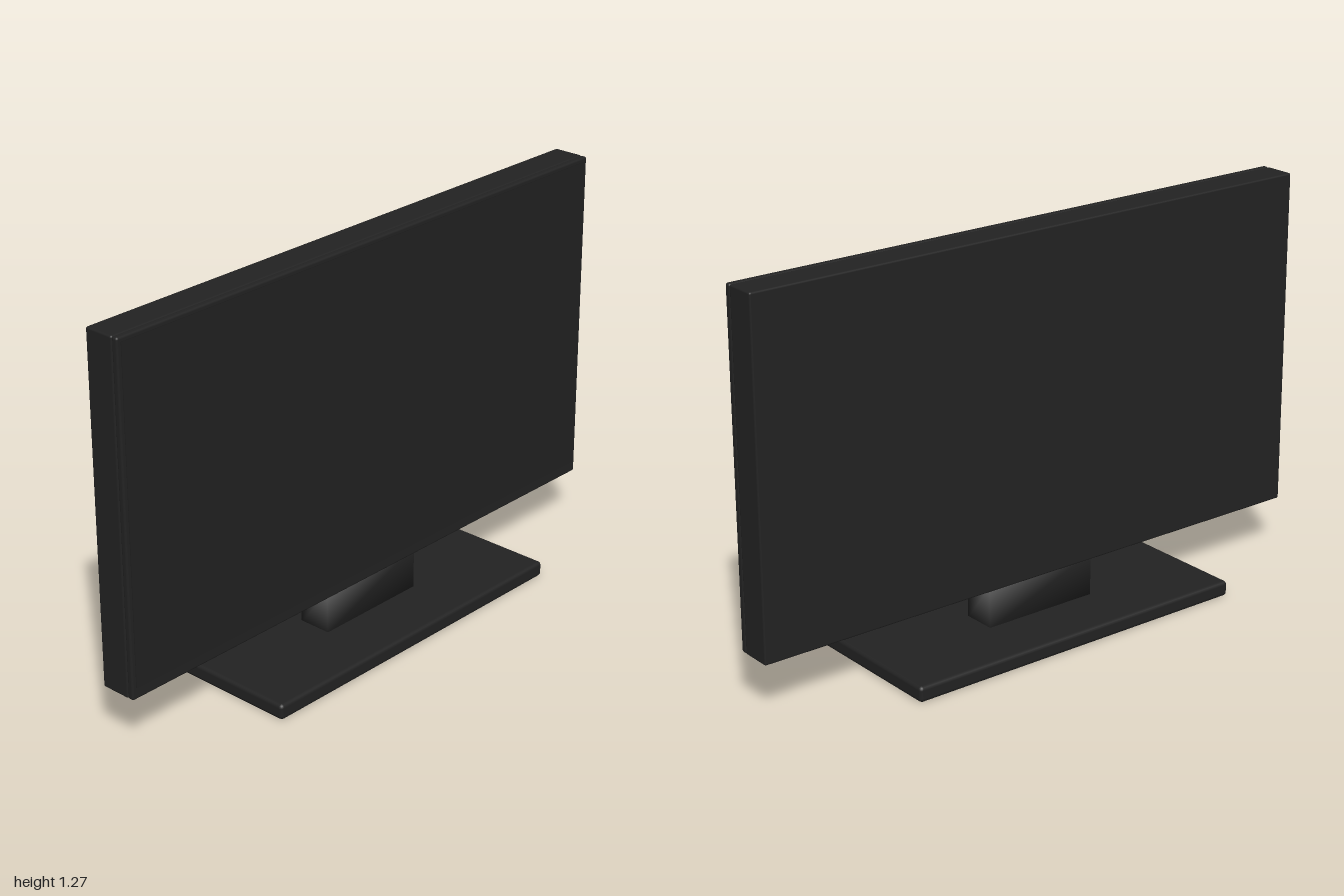
import * as THREE from 'three';
import { RoundedBoxGeometry } from 'three/addons/geometries/RoundedBoxGeometry.js';
import { mergeVertices } from 'three/addons/utils/BufferGeometryUtils.js';

// Box whose corners share one averaged normal, for a soft sheen across its faces
function softBox(w, h, d) {
  const box = new THREE.BoxGeometry(w, h, d);
  box.deleteAttribute('uv');
  box.deleteAttribute('normal');
  const geometry = mergeVertices(box);
  geometry.computeVertexNormals();
  return geometry;
}

export function createModel() {
  const model = new THREE.Group();
  model.name = 'television';

  const casing = new THREE.MeshStandardMaterial({ color: 0x222222 });
  casing.name = 'black plastic';
  const glass = new THREE.MeshStandardMaterial({ color: 0x212121 });
  glass.name = 'dark glass';

  // Places a part by its lower and upper corner
  function add(name, min, max, material, radius) {
    const [w, h, d] = max.map((v, i) => v - min[i]);
    const geometry = radius ? new RoundedBoxGeometry(w, h, d, 2, radius) : softBox(w, h, d);
    const mesh = new THREE.Mesh(geometry, material);
    mesh.name = name;
    mesh.position.set(...max.map((v, i) => (v + min[i]) / 2));
    model.add(mesh);
  }

  // Stand
  add('base', [-0.6, 0, -0.25], [0.6, 0.05, 0.25], casing, 0.012);
  add('neck', [-0.197, 0.045, -0.055], [0.197, 0.19, 0.055], casing);

  // Housing, with a thin groove between the back shell and the front bezel
  add('backShell', [-1, 0.17, -0.06], [1, 1.27, 0.041], casing, 0.006);
  add('frontBezel', [-1, 0.17, 0.041], [1, 1.27, 0.062], casing, 0.007);

  // Screen standing just proud of the bezel
  add('screen', [-0.986, 0.208, 0.057], [0.986, 1.256, 0.0655], glass);

  return model;
}
